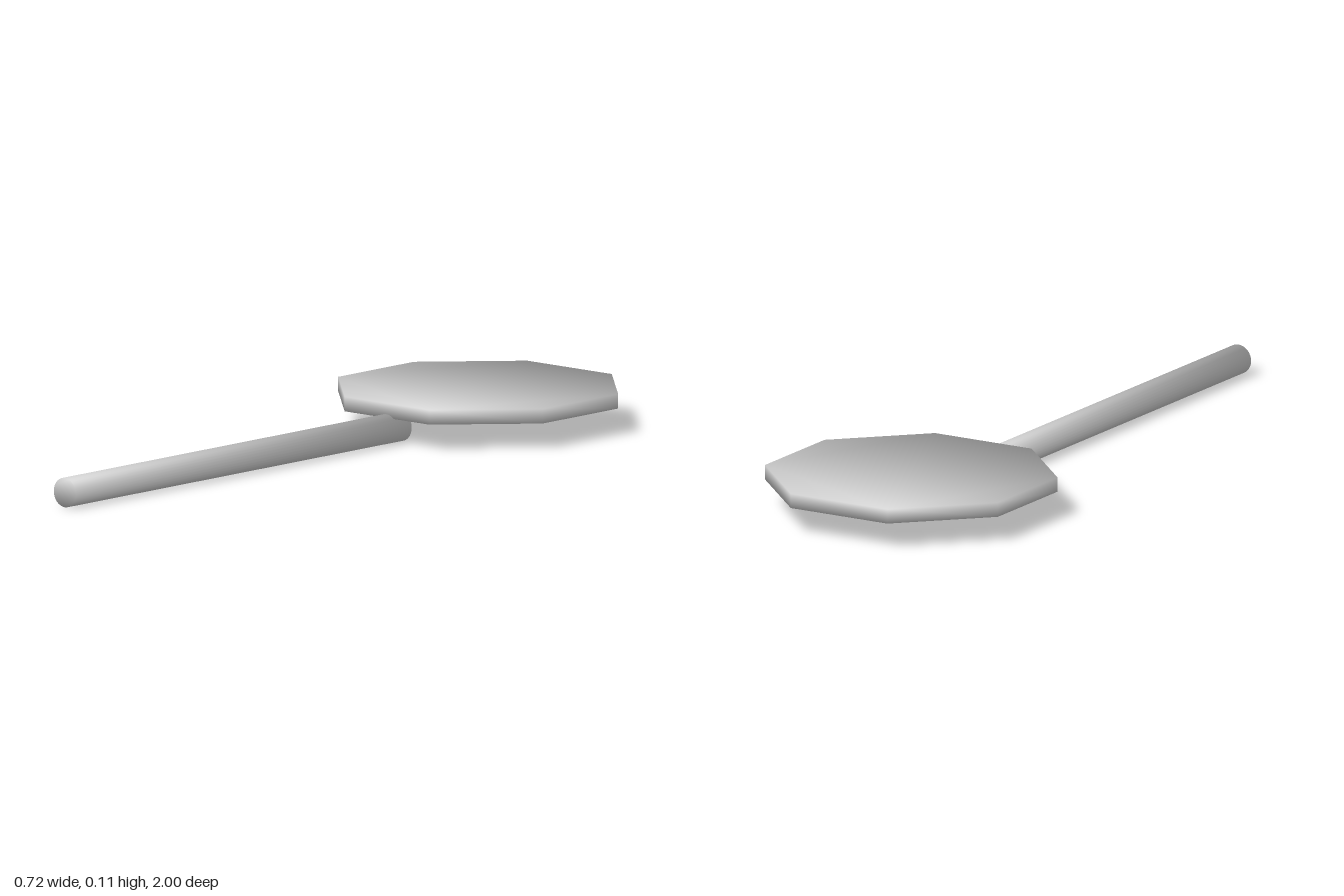
import * as THREE from 'three';

// Regular prism along +z; each corner has one normal shared by its cap and
// sides, weighted by face angle, so shading rolls over every edge
function softPrism(sides, radius, depth, turn) {
  const corners = [];
  for (let i = 0; i < sides; i++) {
    const a = turn + (i / sides) * Math.PI * 2;
    corners.push(new THREE.Vector2(radius * Math.cos(a), radius * Math.sin(a)));
  }
  const geometry = new THREE.ExtrudeGeometry(new THREE.Shape(corners), { depth, bevelEnabled: false });
  const { position, normal } = geometry.attributes;
  const outward = Math.cos(Math.PI / sides) / radius;
  const along = 1 - 2 / sides;
  const n = new THREE.Vector3();
  for (let i = 0; i < position.count; i++) {
    const end = position.getZ(i) > depth / 2 ? 1 : -1;
    n.set(position.getX(i) * outward, position.getY(i) * outward, end * along).normalize();
    normal.setXYZ(i, n.x, n.y, n.z);
  }
  return geometry;
}

export function createModel() {
  const group = new THREE.Group();
  group.name = 'signPost';
  const material = new THREE.MeshStandardMaterial({ color: 0xcccccc });

  // Round pole lying along z
  const pole = new THREE.Mesh(softPrism(32, 0.0395, 1.333, 0), material);
  pole.name = 'pole';
  pole.position.set(-0.003, 0.0395, -0.333);

  // Octagonal plate lying flat on the back end of the pole
  const plate = new THREE.Mesh(softPrism(8, 0.362 / Math.cos(Math.PI / 8), 0.039, Math.PI / 8), material);
  plate.name = 'signPlate';
  plate.rotation.x = -Math.PI / 2;
  plate.position.set(0, 0.069, -0.638);

  group.add(pole, plate);
  return group;
}
